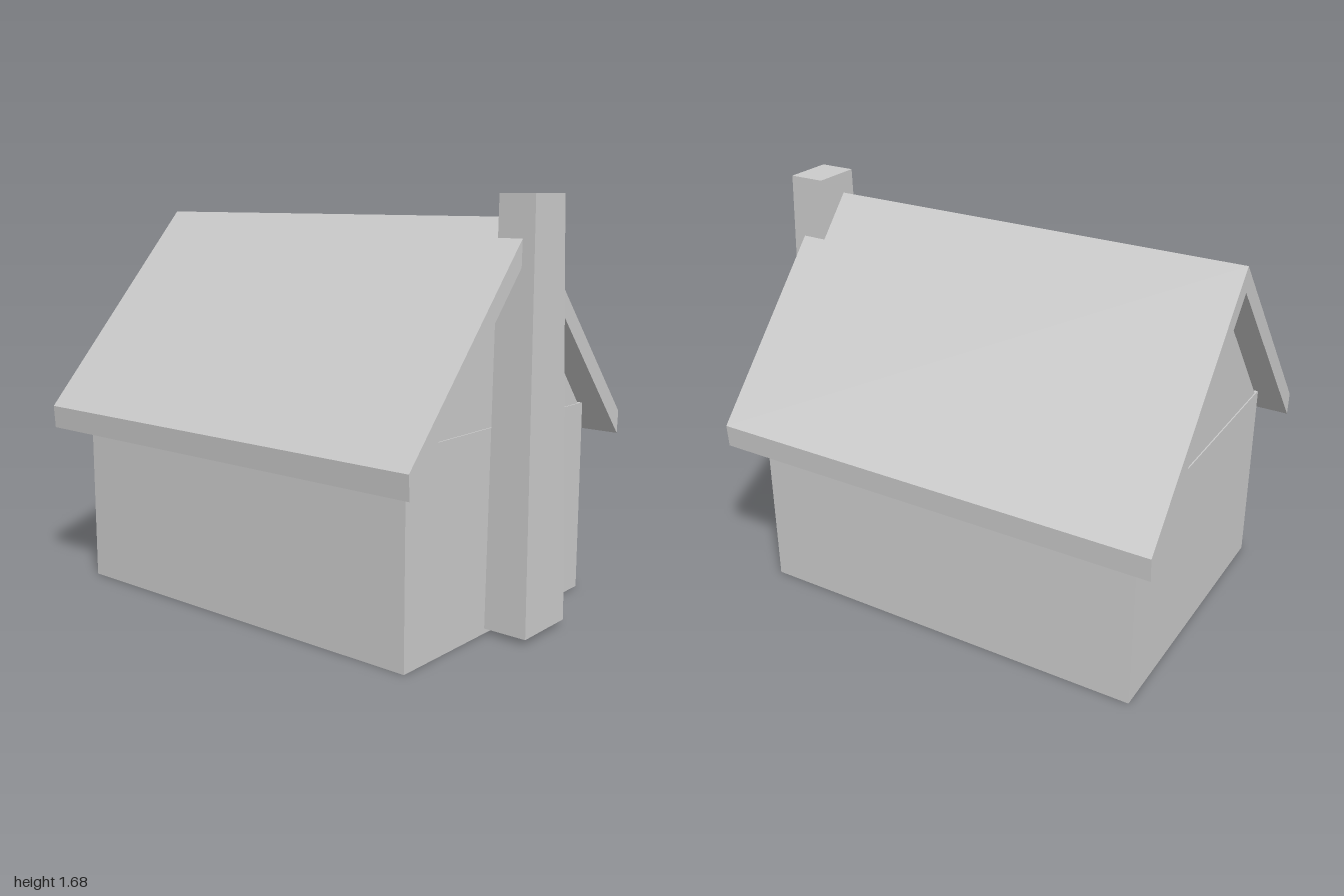
import * as THREE from 'three';

// Extrudes a [z, y] outline along x between x0 and x1 (outlines are symmetric in z).
function extrudeAlongX(points, x0, x1) {
  const shape = new THREE.Shape(points.map(([z, y]) => new THREE.Vector2(z, y)));
  const geometry = new THREE.ExtrudeGeometry(shape, { depth: x1 - x0, bevelEnabled: false });
  return geometry.rotateY(Math.PI / 2).translate(x0, 0, 0);
}

// Box whose top and bottom rectangles differ: each is [x0, x1, z0, z1].
function taperedBox(bottom, top, y0, y1) {
  const geometry = new THREE.BoxGeometry(1, 1, 1);
  const p = geometry.attributes.position;
  for (let i = 0; i < p.count; i++) {
    const upper = p.getY(i) > 0;
    const r = upper ? top : bottom;
    p.setXYZ(i, p.getX(i) > 0 ? r[1] : r[0], upper ? y1 : y0, p.getZ(i) > 0 ? r[3] : r[2]);
  }
  geometry.computeVertexNormals();
  return geometry;
}

export function createModel() {
  const house = new THREE.Group();
  house.name = 'house';
  const plainGrey = new THREE.MeshStandardMaterial({ color: 0xcccccc, flatShading: true });
  plainGrey.name = 'plainGrey';

  const add = (name, geometry) => {
    const mesh = new THREE.Mesh(geometry, plainGrey);
    mesh.name = name;
    house.add(mesh);
  };

  // Main walls
  add('walls', taperedBox([-0.895, 0.815, -0.615, 0.615], [-0.895, 0.815, -0.615, 0.615], 0, 0.808));

  // Gable prism, set in slightly from the walls
  add('gable', extrudeAlongX([[-0.585, 0.8], [0.585, 0.8], [0.585, 0.808], [0, 1.504], [-0.585, 0.808]], -0.89, 0.81));

  // Folded roof slab with overhanging eaves
  add('roof', extrudeAlongX([
    [0, 1.59], [-0.738, 0.767], [-0.732, 0.672], [0, 1.488], [0.732, 0.672], [0.738, 0.767],
  ], -1, 0.92));

  // Chimney, tapering on three sides and flat against the wall
  add('chimney', taperedBox([0.815, 0.998, -0.183, 0.102], [0.815, 0.968, -0.144, 0.064], 0.02, 1.677));

  return house;
}
